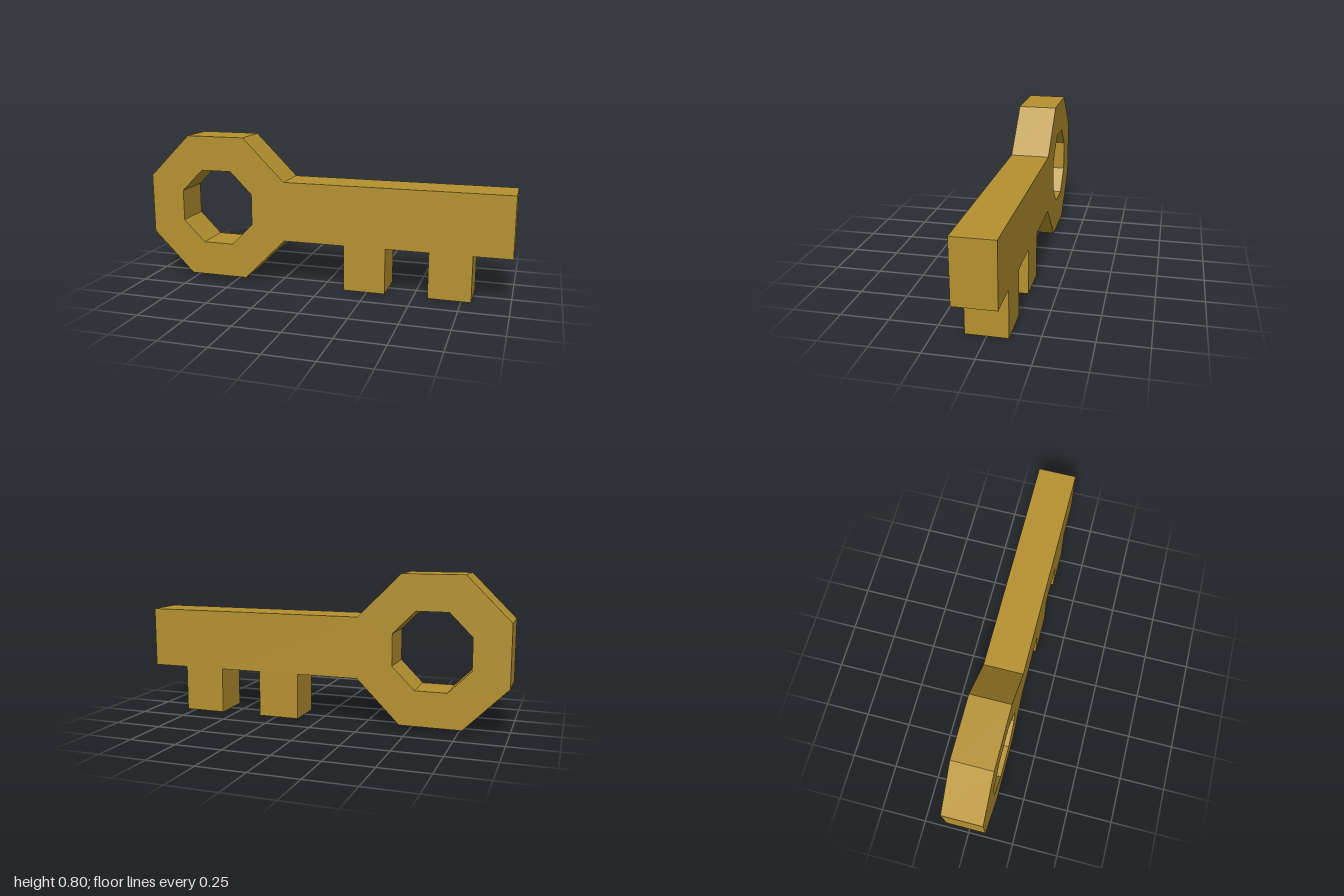
import * as THREE from 'three';

const DEPTH = 0.212;
const BOW = { x: -0.607, y: 0.41, outer: 0.393, inner: 0.205 };

// Corners of a flat-sided octagon, anticlockwise from the lower right corner
function octagon(apothem) {
  const radius = apothem / Math.cos(Math.PI / 8);
  return Array.from({ length: 8 }, (_, i) => {
    const a = -Math.PI / 8 + (i * Math.PI) / 4;
    return new THREE.Vector2(BOW.x + radius * Math.cos(a), BOW.y + radius * Math.sin(a));
  });
}

export function createModel() {
  const brass = new THREE.MeshStandardMaterial({ color: 0xb5912f });
  brass.name = 'brass';

  // The bow's right side is as tall as the shaft, so the shaft grows out of it
  const bow = octagon(BOW.outer);
  const shaftBottom = bow[0].y;
  const shaftTop = bow[1].y;
  const outline = [...bow.slice(1), bow[0]];

  // Two square teeth hanging from the shaft
  for (const x of [0.122, 0.576]) {
    outline.push(
      new THREE.Vector2(x, shaftBottom),
      new THREE.Vector2(x, 0),
      new THREE.Vector2(x + 0.225, 0),
      new THREE.Vector2(x + 0.225, shaftBottom)
    );
  }

  // Shaft tip
  outline.push(new THREE.Vector2(1, shaftBottom), new THREE.Vector2(1, shaftTop));

  const shape = new THREE.Shape(outline);
  shape.holes.push(new THREE.Path(octagon(BOW.inner).reverse()));

  const geometry = new THREE.ExtrudeGeometry(shape, { depth: DEPTH, bevelEnabled: false });
  geometry.translate(0, 0, -DEPTH / 2);

  const key = new THREE.Mesh(geometry, brass);
  key.name = 'keyBody';

  const group = new THREE.Group();
  group.name = 'key';
  group.add(key);
  return group;
}
